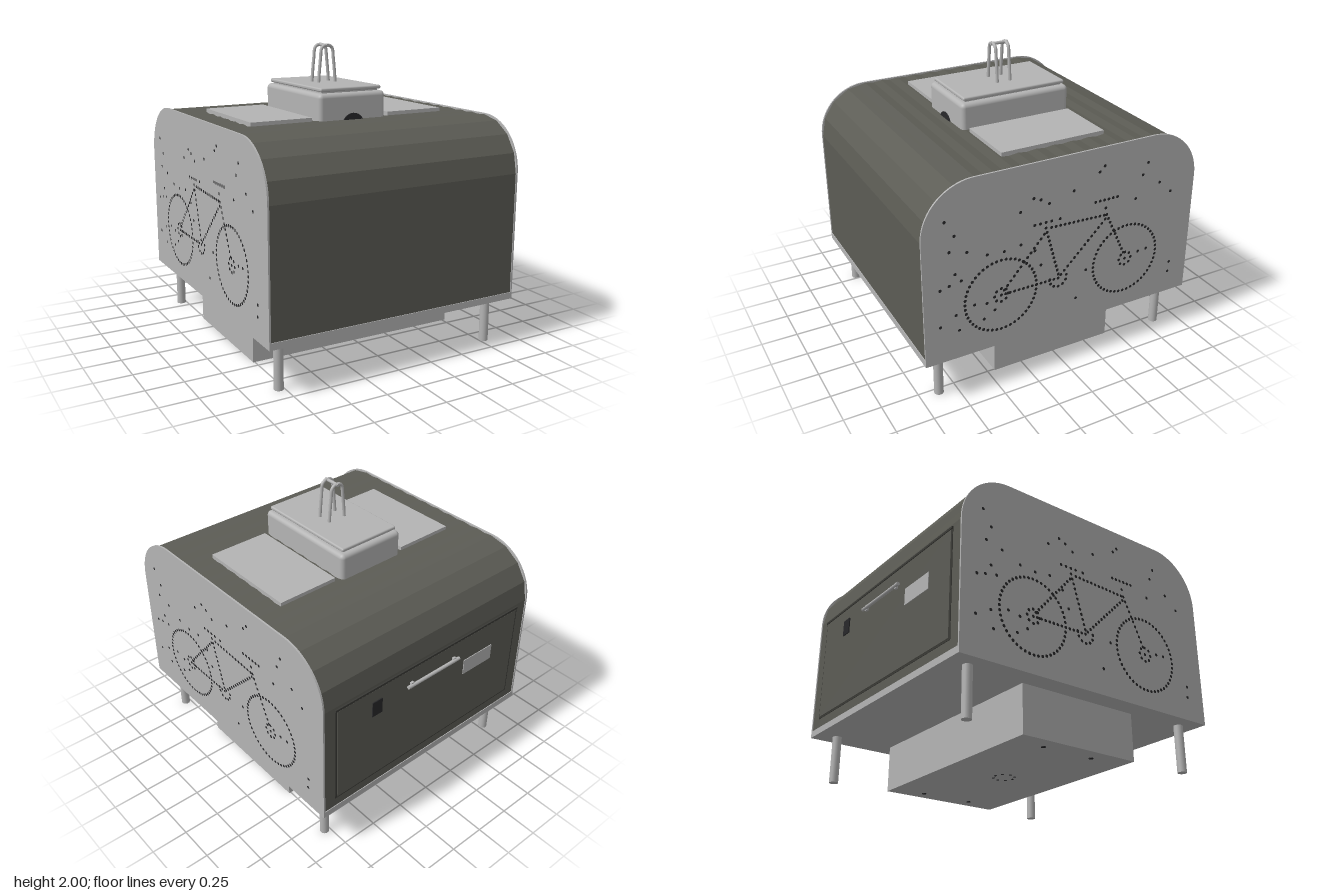
import * as THREE from 'three';
import { mergeGeometries } from 'three/addons/utils/BufferGeometryUtils.js';
import { RoundedBoxGeometry } from 'three/addons/geometries/RoundedBoxGeometry.js';

const ZC = 0.015; // middle of the body along z

function material(name, color, side = THREE.FrontSide) {
  const m = new THREE.MeshStandardMaterial({ color, side });
  m.name = name;
  return m;
}

// Arched outline (z across, y up); ripple pushes every second point inwards
function archShape(half, bottom, top, r, arcSteps, topSteps, ripple) {
  const pts = [new THREE.Vector2(half, bottom)];
  let k = 0;
  const add = (cx, cy, radius, a) => {
    const d = radius - (k++ % 2 ? ripple : 0);
    pts.push(new THREE.Vector2(cx + Math.cos(a) * d, cy + Math.sin(a) * d));
  };
  const c = half - r, cy = top - r;
  for (let i = 0; i <= arcSteps; i++) add(c, cy, r, (i / arcSteps) * Math.PI / 2);
  for (let i = 1; i < topSteps; i++) add(c - (2 * c * i) / topSteps, cy, r, Math.PI / 2);
  for (let i = 0; i <= arcSteps; i++) add(-c, cy, r, (1 + i / arcSteps) * Math.PI / 2);
  pts.push(new THREE.Vector2(-half, bottom));
  return new THREE.Shape(pts);
}

// Extrude an outline along x, centred on x = 0
function extrudeX(shape, width) {
  return new THREE.ExtrudeGeometry(shape, { depth: width, bevelEnabled: false })
    .translate(0, 0, -width / 2).rotateY(-Math.PI / 2);
}

// Perforation positions [z, y] that draw a bicycle and loose dots
function perforations() {
  const dots = [];
  const ring = (z, y, r, n) => {
    for (let i = 0; i < n; i++) {
      const a = (i / n) * Math.PI * 2;
      dots.push([z + r * Math.cos(a), y + r * Math.sin(a)]);
    }
  };
  const line = (z0, y0, z1, y1, n) => {
    for (let i = 0; i < n; i++) {
      const t = i / (n - 1);
      dots.push([z0 + (z1 - z0) * t, y0 + (y1 - y0) * t]);
    }
  };
  for (const z of [0.48, -0.445]) {
    ring(z, 0.69, 0.25, 48);
    ring(z, 0.69, 0.047, 8);
    dots.push([z, 0.69]);
  }
  for (let i = 0; i <= 6; i++) { // chainring
    const a = Math.PI * (0.95 + i * 0.18);
    dots.push([0.07 + 0.062 * Math.cos(a), 0.69 + 0.062 * Math.sin(a)]);
  }
  line(0.45, 0.69, 0.07, 0.69, 13);     // chain stay
  line(0.46, 0.72, 0.18, 1.04, 13);     // seat stay
  line(0.17, 1.08, 0.07, 0.72, 12);     // seat tube
  line(0.13, 1.075, -0.26, 1.06, 13);   // top tube
  line(0.05, 0.71, -0.27, 1.03, 14);    // down tube
  line(-0.28, 1.06, -0.43, 0.74, 11);   // fork
  line(-0.27, 1.11, -0.29, 1.17, 2);    // stem
  line(-0.19, 1.17, -0.355, 1.17, 6);   // handlebar
  line(0.25, 1.12, 0.13, 1.12, 4);      // saddle
  const loose = [
    0.85, 1.295, 0.79, 1.19, 0.825, 1.09, 0.71, 1.06, 0.575, 1.005, 0.46, 0.995, 0.345, 1.01,
    0.79, 0.93, 0.75, 0.875, 0.83, 0.86, 0.89, 0.845, 0.895, 0.585, 0.77, 0.525, 0.79, 0.64,
    0.665, 0.675, 0.6, 0.55, 0.525, 0.595, 0.35, 1.235, 0.26, 1.305, 0.21, 1.285, 0.15, 1.245,
    -0.025, 1.29, -0.21, 1.375, -0.245, 1.41, -0.58, 1.36, -0.545, 1.28, -0.685, 1.195,
    -0.78, 1.11, -0.5, 1.12, -0.825, 0.555, -0.82, 0.48, -0.07, 0.495, 0.2, 0.825,
    -0.14, 0.69, -0.55, 0.715, -0.615, 0.72, 0.325, 0.885, 0.58, 0.66, 0.07, 1.12, 0.245, 0.94,
  ];
  for (let i = 0; i < loose.length; i += 2) dots.push([loose[i], loose[i + 1]]);
  return dots;
}

export function createModel() {
  const model = new THREE.Group();
  model.name = 'bikeShelter';
  const metal = material('light grey metal', 0xb4b4b4);
  const slate = material('dark slate shutter', 0x5c5c55);
  const black = material('black detail', 0x28282a);
  const seam = material('door seam', 0x3a3a36);

  const add = (name, geometry, mat, x = 0, y = 0, z = 0, parent = model) => {
    const mesh = new THREE.Mesh(geometry, mat);
    mesh.name = name;
    mesh.position.set(x, y, z);
    parent.add(mesh);
    return mesh;
  };
  // Box given by its limits
  const box = (name, mat, x0, x1, y0, y1, z0, z1) =>
    add(name, new THREE.BoxGeometry(x1 - x0, y1 - y0, z1 - z0), mat,
      (x0 + x1) / 2, (y0 + y1) / 2, (z0 + z1) / 2);

  // Ribbed shutter shell
  add('shutterShell', extrudeX(archShape(0.98, 0.36, 1.532, 0.35, 8, 20, 0.007), 1.79), slate, 0, 0, ZC);

  // Perforated side panels, the second turned half round
  const panelGeo = extrudeX(archShape(0.985, 0.36, 1.538, 0.35, 20, 1, 0), 0.012);
  const dotGeo = mergeGeometries(perforations().map(([z, y]) =>
    new THREE.CircleGeometry(0.011, 8).rotateY(Math.PI / 2).translate(0, y, z - ZC)));
  for (const turn of [0, Math.PI]) {
    const side = new THREE.Group();
    side.name = turn ? 'rightSide' : 'leftSide';
    side.position.z = ZC;
    side.rotation.y = turn;
    add('sidePanel', panelGeo, metal, 0.899, 0, 0, side);
    add('bicyclePerforations', dotGeo, black, 0.907, 0, 0, side);
    model.add(side);
  }

  // Floor, box underneath and legs
  box('floorPlate', metal, -0.905, 0.905, 0.32, 0.365, -0.97, 1.0);
  box('underBox', metal, -0.765, 0.765, 0.004, 0.32, -0.425, 0.455);
  const legGeo = new THREE.CylinderGeometry(0.031, 0.031, 0.32, 20);
  for (const x of [-0.785, 0.785])
    for (const z of [0.87, -0.83]) add('leg', legGeo, metal, x, 0.16, z);

  // Small fixings below the box
  const footGeo = new THREE.CylinderGeometry(0.015, 0.015, 0.006, 10);
  for (const x of [-0.66, 0.66])
    for (const z of [-0.19, 0.19]) add('boxFoot', footGeo, black, x, 0.003, z);
  const drainGeo = new THREE.CylinderGeometry(0.009, 0.009, 0.004, 8);
  for (let i = 0; i < 8; i++) {
    const a = (i / 8) * Math.PI * 2;
    add('drainHole', drainGeo, black, 0.07 * Math.cos(a), 0.003, ZC + 0.07 * Math.sin(a));
  }

  // Back door with lock, plate and handle
  box('doorSeam', seam, -0.81, 0.81, 0.43, 1.165, -0.968, -0.962);
  box('door', slate, -0.797, 0.797, 0.443, 1.147, -0.972, -0.964);
  box('doorTopTrim', seam, -0.81, 0.81, 1.15, 1.165, -0.974, -0.964);
  box('lock', black, 0.44, 0.52, 0.95, 1.06, -0.979, -0.971);
  box('doorPlate', metal, -0.57, -0.3, 0.85, 0.965, -0.977, -0.971);
  const barGeo = new THREE.CylinderGeometry(0.012, 0.012, 0.46, 12).rotateZ(Math.PI / 2);
  add('doorHandle', barGeo, metal, 0, 1.03, -0.988);
  for (const x of [-0.19, 0.19]) box('handleMount', metal, x - 0.012, x + 0.012, 1.01, 1.05, -0.988, -0.968);

  // Roof panels
  for (const s of [-1, 1])
    add('roofPanel', new THREE.BoxGeometry(0.43, 0.035, 0.735), metal, s * 0.503, 1.538, 0.012);

  // Roof housing, lid and round opening
  add('roofHousing', new RoundedBoxGeometry(0.5, 0.25, 0.79, 4, 0.03), metal, 0, 1.58, ZC);
  add('lidNeck', new THREE.BoxGeometry(0.42, 0.03, 0.71), metal, 0, 1.71, ZC);
  add('lid', new RoundedBoxGeometry(0.455, 0.025, 0.745, 3, 0.01), metal, 0, 1.727, ZC);
  add('roundOpening', new THREE.CylinderGeometry(0.082, 0.082, 0.008, 32).rotateX(Math.PI / 2),
    black, 0, 1.49, 0.414);

  // Lifting hoops joined by a crossbar
  const hoopPath = new THREE.CatmullRomCurve3([
    [-0.065, 1.73], [-0.06, 1.8], [-0.05, 1.9], [-0.04, 1.97], [-0.018, 1.987],
    [0.018, 1.987], [0.04, 1.97], [0.05, 1.9], [0.06, 1.8], [0.065, 1.73],
  ].map(([x, y]) => new THREE.Vector3(x, y, 0)));
  const hoopGeo = new THREE.TubeGeometry(hoopPath, 48, 0.011, 10);
  for (const z of [-0.035, 0.06]) add('liftingHoop', hoopGeo, metal, 0, 0, z);
  add('hoopCrossbar', new THREE.CylinderGeometry(0.011, 0.011, 0.125, 12).rotateX(Math.PI / 2),
    metal, 0, 1.987, 0.0125);

  return model;
}
